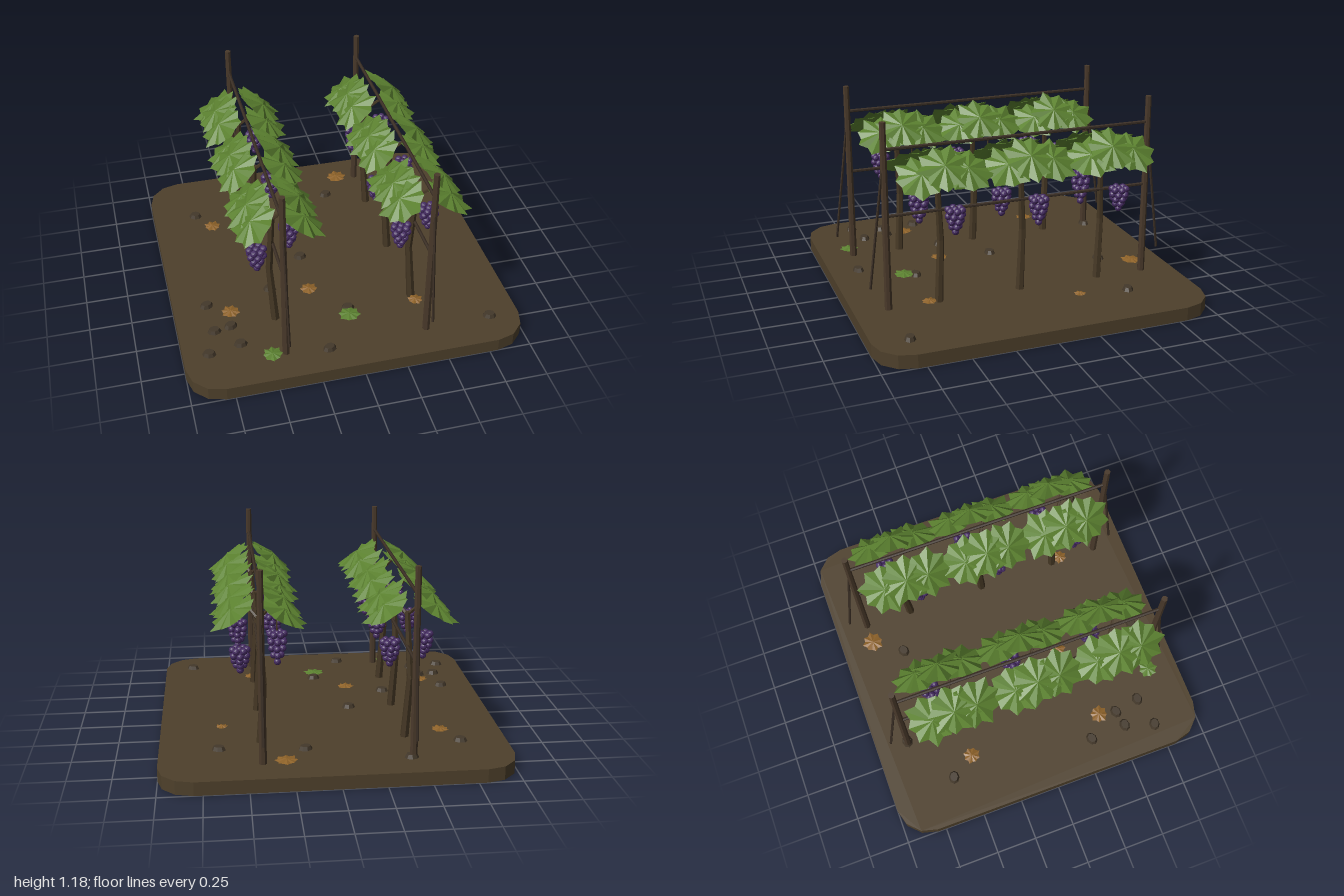
import * as THREE from 'three';

const mat = (name, color, extra = {}) =>
  Object.assign(new THREE.MeshStandardMaterial({ color, flatShading: true, ...extra }), { name });

// Star-shaped leaf: ridged fan around a raised centre, facing up
function leafGeometry(lobes, r, rise) {
  const pos = [], n = lobes * 2;
  const rim = i => {
    const k = i % n, a = (k / n) * Math.PI * 2, tip = k % 2 === 0;
    const rad = r * (tip ? 1 - 0.07 * ((k / 2) % 3) : 0.74);
    return [Math.cos(a) * rad, tip ? 0 : -rise * 0.45, Math.sin(a) * rad];
  };
  for (let i = 0; i < n; i++) pos.push(0, rise, 0, ...rim(i + 1), ...rim(i));
  const g = new THREE.BufferGeometry();
  g.setAttribute('position', new THREE.Float32BufferAttribute(pos, 3));
  g.computeVertexNormals();
  return g;
}

export function createModel() {
  const model = new THREE.Group();
  model.name = 'vineyard';
  const soil = mat('soil', 0x4e402b);
  const wood = mat('post wood', 0x49392a);
  const bark = mat('vine bark', 0x453724);
  const wire = mat('wire', 0x3a2e24);
  const green = mat('leaf green', 0x5c8230, { side: THREE.DoubleSide });
  const orange = mat('dry leaf', 0x8f6329, { side: THREE.DoubleSide });
  const purple = mat('grape', 0x452b62);
  const stone = mat('stone', 0x43382a);

  const add = (parent, name, geo, material, x = 0, y = 0, z = 0) => {
    const m = new THREE.Mesh(geo, material);
    m.name = name;
    m.position.set(x, y, z);
    parent.add(m);
    return m;
  };
  // Tapered rod from point a to point b
  const rod = (parent, name, a, b, r0, r1, material, sides = 6) => {
    const p = new THREE.Vector3(...a), q = new THREE.Vector3(...b);
    const d = q.clone().sub(p);
    const m = add(parent, name, new THREE.CylinderGeometry(r1, r0, d.length(), sides), material);
    m.position.copy(p).add(q).multiplyScalar(0.5);
    m.quaternion.setFromUnitVectors(new THREE.Vector3(0, 1, 0), d.normalize());
    return m;
  };

  // Ground slab with rounded corners
  const outline = new THREE.Shape();
  [[1, 1, 0], [-1, 1, 1], [-1, -1, 2], [1, -1, 3]].forEach(([sx, sy, q]) => {
    for (let i = 0; i <= 3; i++) {
      const a = (q + i / 3) * Math.PI / 2;
      const x = sx * 0.8 + 0.2 * Math.cos(a), y = sy * 0.8 + 0.2 * Math.sin(a);
      if (q === 0 && i === 0) outline.moveTo(x, y); else outline.lineTo(x, y);
    }
  });
  const slab = new THREE.ExtrudeGeometry(outline, { depth: 0.08, bevelEnabled: false });
  add(model, 'ground', slab.rotateX(-Math.PI / 2), soil);

  // Grape bunch hanging down from its top
  const grapeGeo = new THREE.IcosahedronGeometry(0.021, 1);
  const bunch = (parent, x, top, z, height, stem) => {
    const g = new THREE.Group();
    g.name = 'grapeBunch';
    g.position.set(x, top, z);
    parent.add(g);
    const layers = [[6, 0.04], [6, 0.041], [5, 0.033], [4, 0.021], [1, 0]];
    layers.forEach(([n, r], j) => {
      const y = -0.021 - (height - 0.042) * j / (layers.length - 1);
      for (let i = 0; i < n; i++) {
        const a = (i / n) * Math.PI * 2 + j * 0.5;
        add(g, 'grape', grapeGeo, purple, Math.cos(a) * r, y, Math.sin(a) * r);
      }
      if (n > 1) add(g, 'grapeCore', grapeGeo, purple, 0, y, 0);
    });
    rod(g, 'grapeStem', [0, -0.03, 0], [0, stem, 0], 0.005, 0.004, bark, 5);
  };

  const canopyLeaf = leafGeometry(9, 0.165, 0.026);
  // Bunches: side, z, then [top, height, stem] for the left-hand and right-hand row
  const bunches = [
    [-1, 0.575, [0.70, 0.17, 0], [0.71, 0.18, 0]],
    [1, 0.43, [0.73, 0.19, 0.06], [0.69, 0.17, 0]],
    [-1, 0.075, [0.68, 0.16, 0], [0.68, 0.17, 0]],
    [1, -0.07, [0.72, 0.18, 0.06], [0.69, 0.18, 0]],
    [-1, -0.43, [0.70, 0.17, 0], [0.73, 0.21, 0.06]],
    [1, -0.575, [0.71, 0.17, 0], [0.69, 0.16, 0]],
  ];

  // Two trellis rows
  [-0.42, 0.42].forEach((rx, r) => {
    const row = new THREE.Group();
    row.name = 'trellisRow';
    row.position.x = rx;
    model.add(row);

    // End posts with slanted braces
    for (const s of [-1, 1]) {
      rod(row, 'post', [0, 0.08, s * 0.8], [0, 1.18, s * 0.8], 0.022, 0.018, wood, 7);
      rod(row, 'brace', [0, 0.22, s * 0.9], [0, 1.0, s * 0.8], 0.008, 0.008, wire, 5);
    }
    for (const y of [0.64, 1.025])
      rod(row, 'wire', [0, y, -0.8], [0, y, 0.8], 0.01, 0.01, wire);

    // Vines: bent trunk, arms and leaves on both slopes
    [0.5, 0, -0.5].forEach((z, v) => {
      const bend = [-0.022, 0.45, z - 0.022], top = [0, 0.84, z];
      rod(row, 'trunk', [0, 0.08, z], bend, 0.026, 0.021, bark);
      rod(row, 'trunk', bend, top, 0.021, 0.016, bark);
      for (const s of [-1, 1]) {
        rod(row, 'vineArm', [0, 0.82, z], [s * 0.09, 0.925, z + s * 0.06], 0.012, 0.007, bark, 5);
        for (let i = -1; i <= 1; i++) {
          const k = r * 18 + v * 6 + s * 2 + i + 3;
          const leaf = add(row, 'vineLeaf', canopyLeaf, green,
            s > 0 ? 0.142 : -0.128, 0.902 + (i === 0 ? 0.02 : 0) + 0.008 * (k % 3 - 1), z + i * 0.13);
          leaf.rotation.set(0.1 * i, k * 1.3, -s * (0.62 + 0.07 * (k % 3 - 1)), 'ZXY');
        }
      }
    });

    for (const [side, z, ...spec] of bunches) {
      const [top, height, stem] = spec[r];
      bunch(row, side * 0.108, top, z, height, stem);
    }
  });

  // Stones
  const stoneGeo = new THREE.CylinderGeometry(0.03, 0.042, 0.024, 8);
  [[-0.73, -0.6], [-0.41, -0.8], [0.17, -0.63], [0.66, -0.59], [-0.15, -0.02], [-0.8, 0.3],
    [-0.4, 0.24], [-0.79, 0.53], [-0.69, 0.51], [-0.85, 0.71], [-0.66, 0.67], [-0.17, 0.83],
    [0.82, 0.79], [0.02, 0.52]].forEach(([x, z], i) => {
    const m = add(model, 'stone', stoneGeo, stone, x, 0.091, z);
    m.scale.z = 0.8;
    m.rotation.y = 0.3 * (i % 3 - 1);
  });

  // Fallen leaves
  const fallen = leafGeometry(8, 0.07, 0.008);
  [[0.29, -0.8, orange, 1], [-0.64, -0.45, orange, 0.8], [-0.67, 0.4, orange, 0.85],
    [-0.17, 0.31, orange, 0.8], [0.64, -0.29, orange, 0.55], [0.43, 0.56, orange, 0.7],
    [0.01, 0.59, green, 1], [-0.5, 0.81, green, 0.9]].forEach(([x, z, m, s], i) => {
    const leaf = add(model, 'fallenLeaf', fallen, m, x, 0.098, z);
    leaf.scale.set(s, 1, s);
    leaf.rotation.y = i;
  });

  return model;
}
